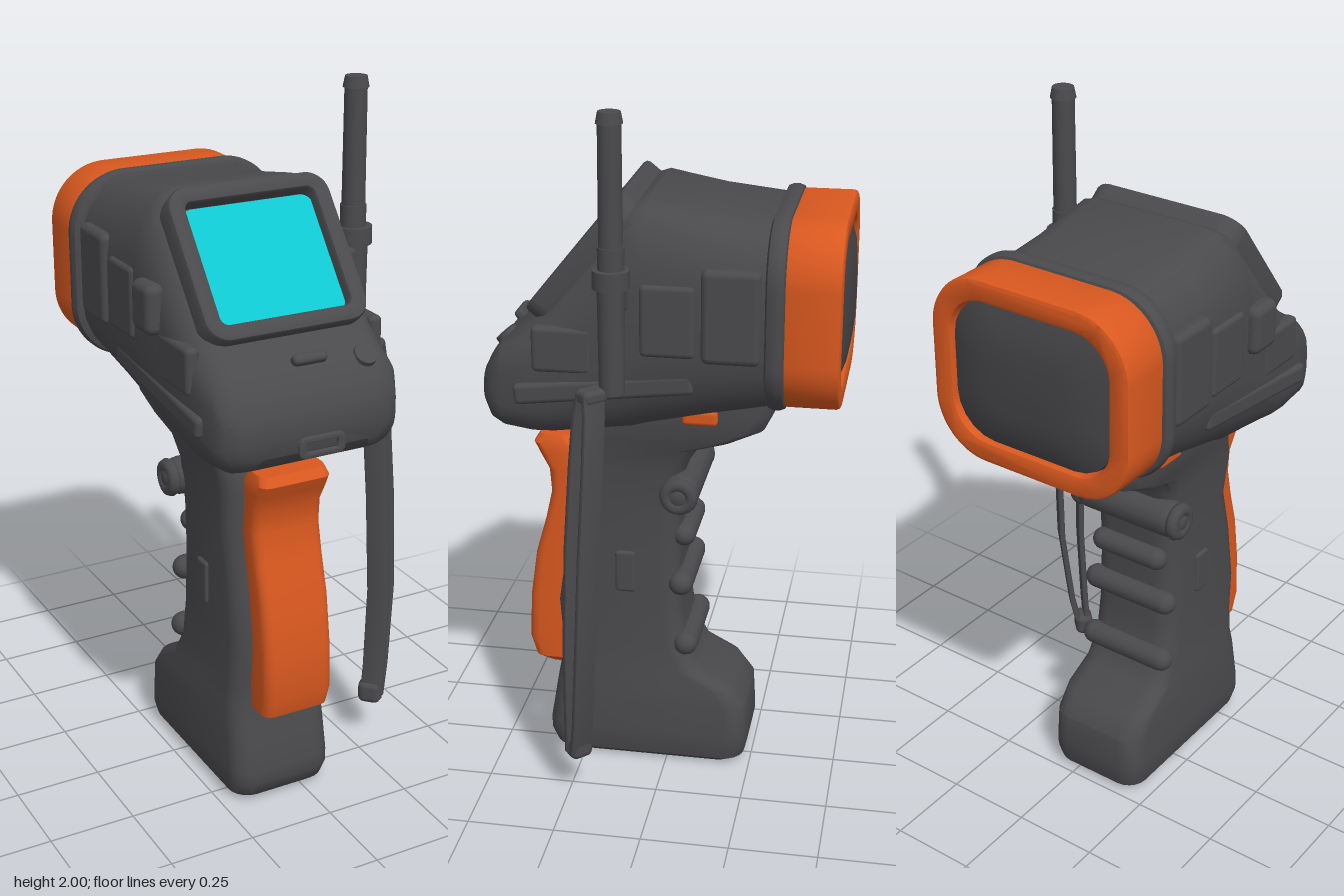
import * as THREE from 'three';
import { toCreasedNormals } from 'three/addons/utils/BufferGeometryUtils.js';
import { RoundedBoxGeometry } from 'three/addons/geometries/RoundedBoxGeometry.js';

const CX = -0.065; // middle of the body

const mat = (name, color) => {
  const m = new THREE.MeshStandardMaterial({ color });
  m.name = name;
  return m;
};

// Loft of rounded rectangles. Section: [position, a0, a1, b0, b1, ra, rb].
// Axis 'z': a = x, b = y. Axis 'y': a = z, b = x. Sections run upwards along the axis.
function loft(axis, sections, steps = 5) {
  const pos = [], idx = [], n = 4 * (steps + 1);
  const put = (a, b, p) => (axis === 'z' ? pos.push(a, b, p) : pos.push(b, p, a));
  for (const [p, a0, a1, b0, b1, ra, rb = ra] of sections) {
    const corners = [[a1 - ra, b1 - rb], [a0 + ra, b1 - rb], [a0 + ra, b0 + rb], [a1 - ra, b0 + rb]];
    corners.forEach(([a, b], q) => {
      for (let k = 0; k <= steps; k++) {
        const t = (q + k / steps) * Math.PI / 2;
        put(a + ra * Math.cos(t), b + rb * Math.sin(t), p);
      }
    });
  }
  const rows = sections.length;
  for (let j = 0; j < rows - 1; j++) {
    for (let i = 0; i < n; i++) {
      const a = j * n + i, b = j * n + (i + 1) % n;
      idx.push(a, b, b + n, a, b + n, a + n);
    }
  }
  // End caps
  for (const j of [0, rows - 1]) {
    const [p, a0, a1, b0, b1] = sections[j];
    const c = pos.length / 3;
    put((a0 + a1) / 2, (b0 + b1) / 2, p);
    for (let i = 0; i < n; i++) {
      const a = j * n + i, b = j * n + (i + 1) % n;
      j ? idx.push(c, a, b) : idx.push(c, b, a);
    }
  }
  const g = new THREE.BufferGeometry();
  g.setAttribute('position', new THREE.Float32BufferAttribute(pos, 3));
  g.setIndex(idx);
  return toCreasedNormals(g, 0.6);
}

// Rounded rectangle outline centred on the origin
function roundRect(hw, hh, r, Type = THREE.Shape) {
  const s = new Type();
  s.moveTo(hw, -hh + r);
  s.absarc(hw - r, hh - r, r, 0, Math.PI / 2);
  s.absarc(-hw + r, hh - r, r, Math.PI / 2, Math.PI);
  s.absarc(-hw + r, -hh + r, r, Math.PI, Math.PI * 1.5);
  s.absarc(hw - r, -hh + r, r, Math.PI * 1.5, Math.PI * 2);
  return s;
}

// Rectangular frame with a hole, its depth running from z = 0
function frame(hw, hh, r, ihw, ihh, ir, depth, bevel) {
  const s = roundRect(hw - bevel, hh - bevel, r);
  s.holes.push(roundRect(ihw + bevel, ihh + bevel, ir, THREE.Path));
  const g = new THREE.ExtrudeGeometry(s, {
    depth: depth - 2 * bevel, bevelThickness: bevel, bevelSize: bevel, bevelSegments: 2, curveSegments: 8,
  });
  return toCreasedNormals(g.translate(0, 0, bevel), 0.6);
}

export function createModel() {
  const root = new THREE.Group();
  root.name = 'handheldScanner';
  const dark = mat('dark grey plastic', 0x4a4a4d);
  const orange = mat('orange plastic', 0xd9581f);
  const cyan = mat('cyan screen', 0x10c8d2);
  const glass = mat('lens grey', 0x454548);

  const add = (name, geo, m, p = [0, 0, 0], parent = root) => {
    const o = new THREE.Mesh(geo, m);
    o.name = name;
    o.position.set(...p);
    parent.add(o);
    return o;
  };
  const box = (w, h, d, r = 0.012) => new RoundedBoxGeometry(w, h, d, 2, r);
  const tube = (r0, r1, h) => new THREE.CylinderGeometry(r0, r1, h, 20);

  // Head: z, half width, bottom, top, corner width, corner height
  const head = [
    [-0.31, 0.305, 1.18, 1.69, 0.15, 0.18], [-0.12, 0.30, 1.145, 1.71, 0.13, 0.2],
    [0.04, 0.298, 1.11, 1.74, 0.12, 0.22], [0.08, 0.296, 1.10, 1.725, 0.11, 0.22],
    [0.3, 0.285, 1.075, 1.45, 0.09, 0.13], [0.36, 0.28, 1.075, 1.395, 0.08, 0.11],
    [0.44, 0.272, 1.085, 1.345, 0.08, 0.08], [0.475, 0.255, 1.1, 1.295, 0.08, 0.07],
    [0.5, 0.215, 1.135, 1.25, 0.06, 0.05],
  ].map(([z, w, b, t, ra, rb]) => [z, CX - w, CX + w, b, t, ra, rb]);
  add('head', loft('z', head), dark);

  // Lens end
  add('collar', frame(0.325, 0.272, 0.15, 0.2, 0.15, 0.1, 0.055, 0.02), dark, [CX, 1.44, -0.345]);
  add('lensRing', frame(0.312, 0.262, 0.15, 0.25, 0.2, 0.12, 0.155, 0.012), orange, [CX, 1.44, -0.49]);
  const dome = [[-0.5, 0.12, 0.09, 0.07], [-0.492, 0.19, 0.15, 0.1], [-0.47, 0.25, 0.2, 0.12], [-0.4, 0.26, 0.21, 0.12]];
  add('lens', loft('z', dome.map(([z, w, h, r]) => [z, CX - w, CX + w, 1.44 - h, 1.44 + h, r])), glass);

  // Sloping display
  const display = new THREE.Group();
  display.name = 'display';
  display.position.set(CX, 1.565, 0.225);
  display.rotation.x = -0.68;
  root.add(display);
  add('bezel', frame(0.24, 0.217, 0.05, 0.19, 0.17, 0.035, 0.125, 0.014), dark, [0, 0.008, -0.09], display);
  add('screen', new THREE.ExtrudeGeometry(roundRect(0.192, 0.172, 0.03), { depth: 0.008, bevelEnabled: false }),
    cyan, [0, 0, -0.008], display);

  // Controls under the display
  const bar = add('menuKey', box(0.1, 0.03, 0.05), dark, [-0.05, 1.352, 0.425]);
  bar.rotation.x = -0.9;
  const knob = add('roundKey', tube(0.032, 0.036, 0.04), dark, [0.115, 1.335, 0.43]);
  knob.rotation.x = 0.7;
  add('chinSocket', frame(0.07, 0.03, 0.015, 0.045, 0.012, 0.006, 0.04, 0.006), dark, [-0.05, 1.145, 0.47]);
  add('chinRidge', box(0.5, 0.035, 0.06, 0.016), dark, [CX, 1.23, 0.455]);

  // Raised panels on both cheeks
  for (const s of [-1, 1]) {
    const cheek = new THREE.Group();
    cheek.name = s > 0 ? 'leftCheek' : 'rightCheek';
    root.add(cheek);
    const x = CX + s * 0.285;
    add('rearPanel', box(0.06, 0.26, 0.16, 0.02), dark, [x, 1.46, -0.2], cheek);
    add('middlePanel', box(0.045, 0.2, 0.15, 0.015), dark, [x, 1.44, -0.03], cheek);
    const rail = add('lowerRail', box(0.04, 0.06, 0.5, 0.015), dark, [x - s * 0.01, 1.235, 0.15], cheek);
    rail.rotation.x = 0.12;
    add('frontPanel', box(0.04, 0.13, 0.17, 0.015), dark, [x - s * 0.012, 1.34, 0.26], cheek);
  }
  add('sideKnob', box(0.06, 0.14, 0.11, 0.025), dark, [-0.36, 1.46, 0.13]);

  // Grip: y, back z, front z, half width, corner radius
  const grip = [
    [0, -0.2, 0.32, 0.125, 0.05], [0.02, -0.23, 0.345, 0.148, 0.06], [0.06, -0.24, 0.36, 0.156, 0.06],
    [0.1, -0.24, 0.36, 0.156, 0.06], [0.19, -0.235, 0.345, 0.154, 0.06], [0.25, -0.19, 0.335, 0.152, 0.06],
    [0.3, -0.1, 0.325, 0.148, 0.06], [0.38, -0.055, 0.325, 0.143, 0.06], [0.5, -0.04, 0.335, 0.14, 0.06],
    [0.68, -0.035, 0.31, 0.138, 0.06], [0.82, -0.04, 0.275, 0.138, 0.06], [0.95, -0.05, 0.29, 0.145, 0.06],
    [1.01, -0.09, 0.27, 0.152, 0.06], [1.04, -0.19, 0.26, 0.158, 0.06], [1.08, -0.275, 0.26, 0.163, 0.06],
    [1.13, -0.3, 0.26, 0.166, 0.06], [1.22, -0.3, 0.26, 0.166, 0.06],
  ].map(([y, b, f, w, r]) => [y, b, f, CX - w, CX + w, r]);
  add('grip', loft('y', grip), dark);

  // Orange front pad: y, back z, front z, half width
  const pad = [
    [0.28, 0.3, 0.375, 0.085], [0.3, 0.29, 0.405, 0.102], [0.36, 0.29, 0.422, 0.105], [0.5, 0.29, 0.416, 0.105],
    [0.64, 0.28, 0.396, 0.105], [0.75, 0.26, 0.365, 0.105], [0.84, 0.25, 0.345, 0.105], [0.91, 0.25, 0.35, 0.105],
    [0.96, 0.26, 0.375, 0.108], [0.995, 0.27, 0.392, 0.108], [1.02, 0.29, 0.375, 0.1],
  ].map(([y, b, f, w]) => [y, b, f, CX + 0.01 - w, CX + 0.01 + w, 0.03]);
  add('gripPad', loft('y', pad), orange);

  // Finger ridges across the back of the grip
  [[0.88, 0.055, 0.37, -0.04], [0.73, 0.034, 0.25, -0.045], [0.585, 0.036, 0.31, -0.04], [0.39, 0.036, 0.31, -0.055]]
    .forEach(([y, r, w, z], i) => {
      const ridge = add('fingerRidge' + (i + 1), new THREE.CapsuleGeometry(r, w - 2 * r, 5, 14), dark, [CX, y, z]);
      ridge.rotation.z = Math.PI / 2;
    });
  for (const s of [-1, 1]) {
    const hub = add('ridgeHub', new THREE.TorusGeometry(0.036, 0.02, 8, 18), dark, [CX + s * 0.165, 0.88, -0.04]);
    hub.rotation.y = Math.PI / 2;
  }
  add('sideLatch', box(0.295, 0.13, 0.06, 0.01), dark, [CX, 0.62, 0.12]);
  add('triggerButton', box(0.36, 0.045, 0.1, 0.012), orange, [CX, 1.125, -0.1]);

  // Antenna on the left side
  const antenna = new THREE.Group();
  antenna.name = 'antenna';
  antenna.position.set(0.275, 0, 0.11);
  root.add(antenna);
  add('rod', tube(0.031, 0.033, 0.43), dark, [-0.004, 1.775, 0], antenna);
  add('tip', tube(0.03, 0.036, 0.03), dark, [-0.004, 1.985, 0], antenna);
  add('ferrule', tube(0.036, 0.036, 0.06), dark, [-0.004, 1.62, 0], antenna);
  add('clamp', tube(0.05, 0.05, 0.05), dark, [0, 1.565, 0], antenna);
  add('sleeve', tube(0.037, 0.035, 0.3), dark, [0.002, 1.4, 0], antenna);
  add('mount', box(0.1, 0.08, 0.07, 0.02), dark, [-0.05, 1.5, 0], antenna);

  // Wrist strap: two flat bands that meet at the top and bottom
  const strap = new THREE.Group();
  strap.name = 'wristStrap';
  strap.position.set(0.31, 0, 0.19);
  strap.rotation.y = -Math.PI / 4;
  root.add(strap);
  for (const s of [-1, 1]) {
    const band = [
      [0.15, 0.02, 0.02, 0.012], [0.25, 0.025, 0.005, 0.02], [0.5, 0.03, -0.015, 0.03],
      [0.8, 0.018, -0.018, 0.034], [1.05, 0, -0.02, 0.032], [1.2, -0.012, -0.02, 0.026], [1.26, -0.018, -0.02, 0.014],
    ].map(([y, a, t, gap]) => {
      const c = t + s * gap;
      return [y, c - 0.009, c + 0.009, a - 0.033, a + 0.033, 0.006];
    });
    add('band', loft('y', band, 2), dark, [0, 0, 0], strap);
  }
  add('strapEnd', box(0.07, 0.07, 0.055, 0.02), dark, [0.015, 0.165, 0.02], strap);
  add('strapTop', box(0.075, 0.04, 0.06, 0.015), dark, [-0.022, 1.25, -0.02], strap);

  return root;
}
